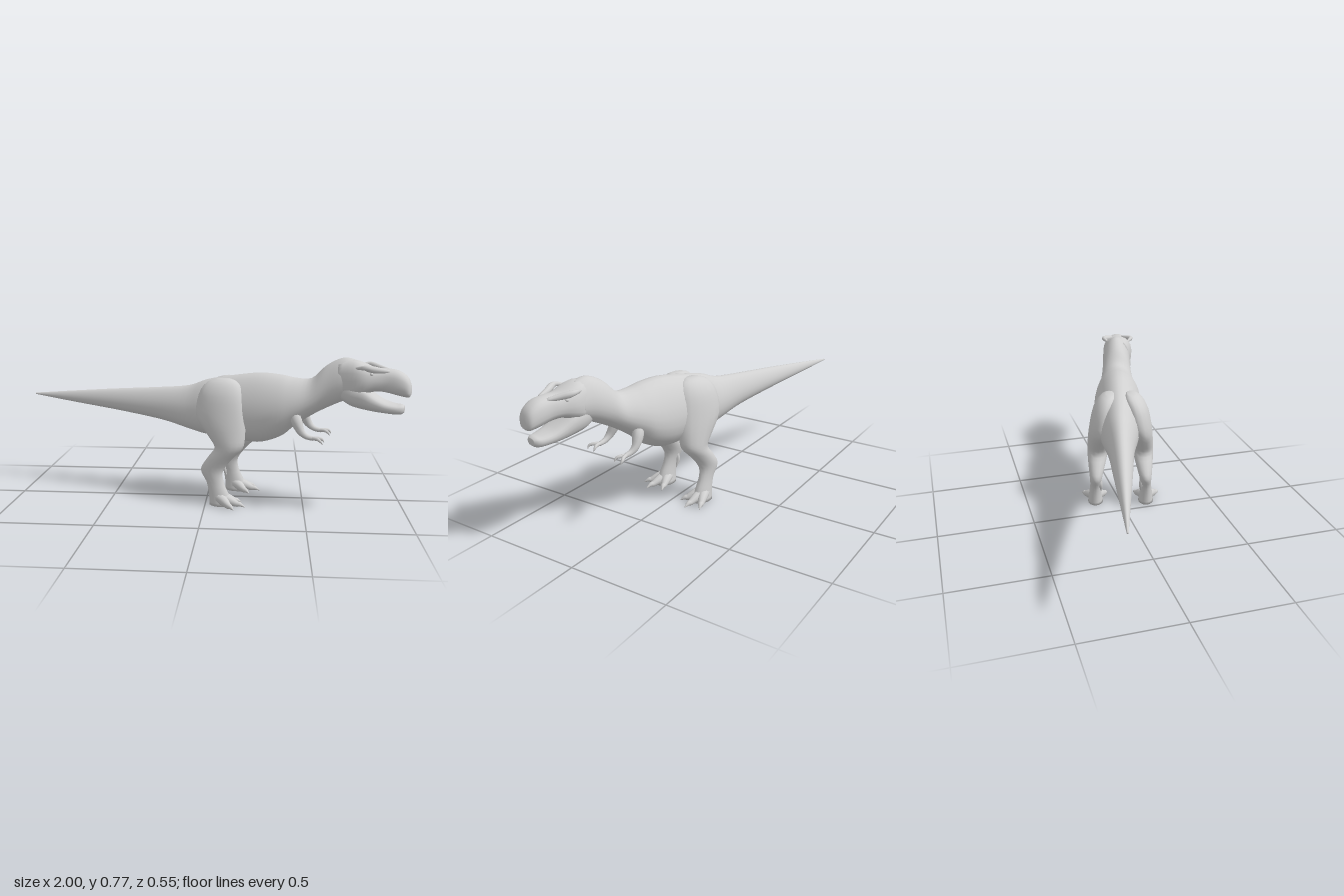
import * as THREE from 'three';

const V = (x, y, z) => new THREE.Vector3(x, y, z);
const UP = V(0, 1, 0), X = V(1, 0, 0), Z = V(0, 0, 1);
const hide = new THREE.MeshStandardMaterial({ color: 0xd0d0d0 });
hide.name = 'lightGreyHide';

// Catmull-Rom interpolation of rows of numbers
function refine(rows, steps) {
  const out = [], last = rows.length - 1;
  for (let i = 0; i < last; i++) {
    const [p, q, r, s] = [rows[Math.max(i - 1, 0)], rows[i], rows[i + 1], rows[Math.min(i + 2, last)]];
    for (let k = 0; k < steps; k++) {
      const t = k / steps;
      out.push(q.map((_, n) => q[n] + 0.5 * t * (r[n] - p[n]
        + t * (2 * p[n] - 5 * q[n] + 4 * r[n] - s[n] + t * (3 * (q[n] - r[n]) + s[n] - p[n])))));
    }
  }
  out.push(rows[last]);
  return out;
}

// Closed skin over sections [x, y, z, radiusA, radiusB]; without axes the rings follow the path
function loft(name, rows, { axes, n = 16, steps = 3, power = 1, taper = 0 } = {}) {
  const secs = refine(rows, steps), pos = [], idx = [];
  const centre = (s) => V(s[0], s[1], s[2]);
  const pw = (v) => Math.sign(v) * Math.abs(v) ** power;
  secs.forEach((s, i) => {
    let [a, b] = axes || [];
    if (!axes) {
      const d = centre(secs[Math.min(i + 1, secs.length - 1)]).sub(centre(secs[Math.max(i - 1, 0)])).normalize();
      const ref = Math.abs(d.y) > 0.9 ? X : UP;
      a = ref.clone().addScaledVector(d, -ref.dot(d)).normalize();
      b = d.clone().cross(a);
    }
    for (let j = 0; j < n; j++) {
      const t = (j / n) * Math.PI * 2, c = pw(Math.cos(t));
      const p = centre(s).addScaledVector(a, c * s[3])
        .addScaledVector(b, pw(Math.sin(t)) * s[4] * (1 - taper * c));
      pos.push(p.x, Math.max(p.y, 0), p.z);
    }
  });
  for (let i = 0; i < secs.length - 1; i++) for (let j = 0; j < n; j++) {
    const k = (j + 1) % n, p = i * n, q = p + n;
    idx.push(p + j, p + k, q + j, p + k, q + k, q + j);
  }
  // End caps
  const end = (secs.length - 1) * n, c0 = pos.length / 3;
  const f = secs[0], l = secs[secs.length - 1];
  pos.push(f[0], Math.max(f[1], 0), f[2], l[0], Math.max(l[1], 0), l[2]);
  for (let j = 0; j < n; j++) {
    const k = (j + 1) % n;
    idx.push(c0, k, j, c0 + 1, end + j, end + k);
  }
  const g = new THREE.BufferGeometry();
  g.setAttribute('position', new THREE.Float32BufferAttribute(pos, 3));
  g.setIndex(idx);
  g.computeVertexNormals();
  const mesh = new THREE.Mesh(g, hide);
  mesh.name = name;
  return mesh;
}

// Lengthwise part from rows [x, top, bottom, halfWidth]
const lengthwise = (name, rows, z, opts) => loft(name,
  rows.map(([x, t, b, w]) => [x * 1.03, (t + b) / 2, z, (t - b) / 2, w]), { axes: [UP, Z], ...opts });
// Round limb from rows [x, y, z, radius], placed on side s
const limb = (name, rows, s, opts) => loft(name,
  rows.map(([x, y, z, r]) => [x, y, z * s, r, r]), { n: 10, ...opts });

function makeHead() {
  const head = new THREE.Group();
  head.name = 'head';
  head.add(lengthwise('skull', [
    [0.66, 0.745, 0.575, 0.06], [0.73, 0.757, 0.57, 0.08], [0.78, 0.742, 0.59, 0.084],
    [0.83, 0.722, 0.61, 0.07], [0.88, 0.722, 0.608, 0.058], [0.93, 0.715, 0.597, 0.057],
    [0.965, 0.695, 0.59, 0.053], [0.985, 0.67, 0.588, 0.044], [0.995, 0.64, 0.602, 0.024],
  ], 0.01, { n: 20, power: 0.8, taper: 0.08 }));
  head.add(lengthwise('lowerJaw', [
    [0.66, 0.66, 0.57, 0.05], [0.72, 0.65, 0.535, 0.077], [0.78, 0.635, 0.52, 0.08],
    [0.83, 0.597, 0.512, 0.073], [0.88, 0.567, 0.507, 0.064], [0.93, 0.554, 0.503, 0.052],
    [0.955, 0.552, 0.505, 0.04], [0.968, 0.545, 0.515, 0.024],
  ], 0.01, { n: 20, power: 0.8, taper: -0.05 }));
  for (const s of [1, -1]) {
    // Brow ridge rising to a blunt horn behind the eye
    const brow = limb('browRidge', [[0.92, 0.708, 0.03, 0.008], [0.87, 0.716, 0.05, 0.015],
      [0.835, 0.724, 0.072, 0.016], [0.81, 0.729, 0.08, 0.012], [0.78, 0.725, 0.066, 0.008],
      [0.75, 0.72, 0.05, 0.004]], s);
    brow.position.z = 0.01;
    const eye = new THREE.Mesh(new THREE.SphereGeometry(0.01, 12, 8), hide);
    eye.name = 'eye';
    eye.position.set(0.84, 0.697, 0.01 + s * 0.06);
    head.add(brow, eye);
  }
  return head;
}

function makeLeg(s) {
  const leg = new THREE.Group();
  leg.name = s > 0 ? 'leftLeg' : 'rightLeg';
  // Thigh, shin and ankle as level rings [x, y, z, halfLength, halfWidth]
  leg.add(loft('legBody', [
    [0.11, 0.642, 0.055, 0.035, 0.02], [0.105, 0.62, 0.066, 0.085, 0.045], [0.1, 0.56, 0.084, 0.118, 0.062],
    [0.105, 0.45, 0.104, 0.13, 0.064], [0.14, 0.36, 0.115, 0.098, 0.062], [0.155, 0.3, 0.122, 0.073, 0.058],
    [0.112, 0.245, 0.128, 0.065, 0.048], [0.07, 0.18, 0.134, 0.06, 0.035], [0.088, 0.12, 0.138, 0.046, 0.029],
    [0.108, 0.06, 0.14, 0.052, 0.034], [0.12, 0, 0.14, 0.06, 0.042],
  ].map(([x, y, z, a, b]) => [x, y, z * s, a, b]), { axes: [X, Z] }));
  // Three splayed toes tapering to claws
  for (const [x, z] of [[0.21, 0.075], [0.25, 0.15], [0.21, 0.216]]) {
    const at = (t, y, r) => [0.1 + (x - 0.1) * t, y, 0.14 + (z - 0.14) * t, r];
    leg.add(limb('toe', [at(0, 0.045, 0.032), at(0.4, 0.03, 0.025), at(0.7, 0.015, 0.016),
      at(0.82, 0.014, 0.012), at(1, 0.003, 0.002)], s));
  }
  leg.add(limb('dewclaw', [[0.065, 0.165, 0.118, 0.014], [0.06, 0.125, 0.11, 0.011],
    [0.075, 0.085, 0.108, 0.002]], s, { n: 8 }));
  leg.position.z = 0.007;
  return leg;
}

function makeArm(s) {
  const arm = new THREE.Group();
  arm.name = s > 0 ? 'leftArm' : 'rightArm';
  arm.add(limb('armBody', [[0.475, 0.5, 0.07, 0.02], [0.49, 0.455, 0.088, 0.028],
    [0.515, 0.405, 0.1, 0.02], [0.545, 0.38, 0.1, 0.014], [0.58, 0.372, 0.098, 0.011]], s));
  // Two fingers
  for (const z of [0.082, 0.128]) {
    arm.add(limb('finger', [[0.57, 0.373, 0.098, 0.01], [0.6, 0.374, (z + 0.1) / 2, 0.009],
      [0.618, 0.368, z, 0.007], [0.63, 0.352, z, 0.001]], s, { n: 8 }));
  }
  return arm;
}

export function createModel() {
  const model = new THREE.Group();
  model.name = 'dinosaur';
  const body = new THREE.Group();
  body.name = 'bodyGroup';
  // Tail, torso and neck in one skin
  body.add(lengthwise('tailTorsoNeck', [
    [-1, 0.496, 0.488, 0.004], [-0.75, 0.523, 0.458, 0.024], [-0.5, 0.548, 0.43, 0.044],
    [-0.25, 0.57, 0.395, 0.063], [-0.1, 0.588, 0.358, 0.082], [0, 0.625, 0.335, 0.1],
    [0.12, 0.65, 0.325, 0.115], [0.27, 0.672, 0.313, 0.128], [0.38, 0.667, 0.35, 0.128],
    [0.45, 0.655, 0.41, 0.115], [0.53, 0.658, 0.468, 0.092], [0.6, 0.725, 0.51, 0.08],
    [0.68, 0.765, 0.55, 0.078], [0.75, 0.752, 0.575, 0.07],
  ], 0, { n: 24, steps: 4, taper: 0.18 }));
  body.add(makeHead());
  for (const s of [1, -1]) body.add(makeLeg(s), makeArm(s));
  // The animal stands diagonally
  body.rotation.y = -0.243;
  body.position.z = -0.029;
  model.add(body);
  return model;
}
